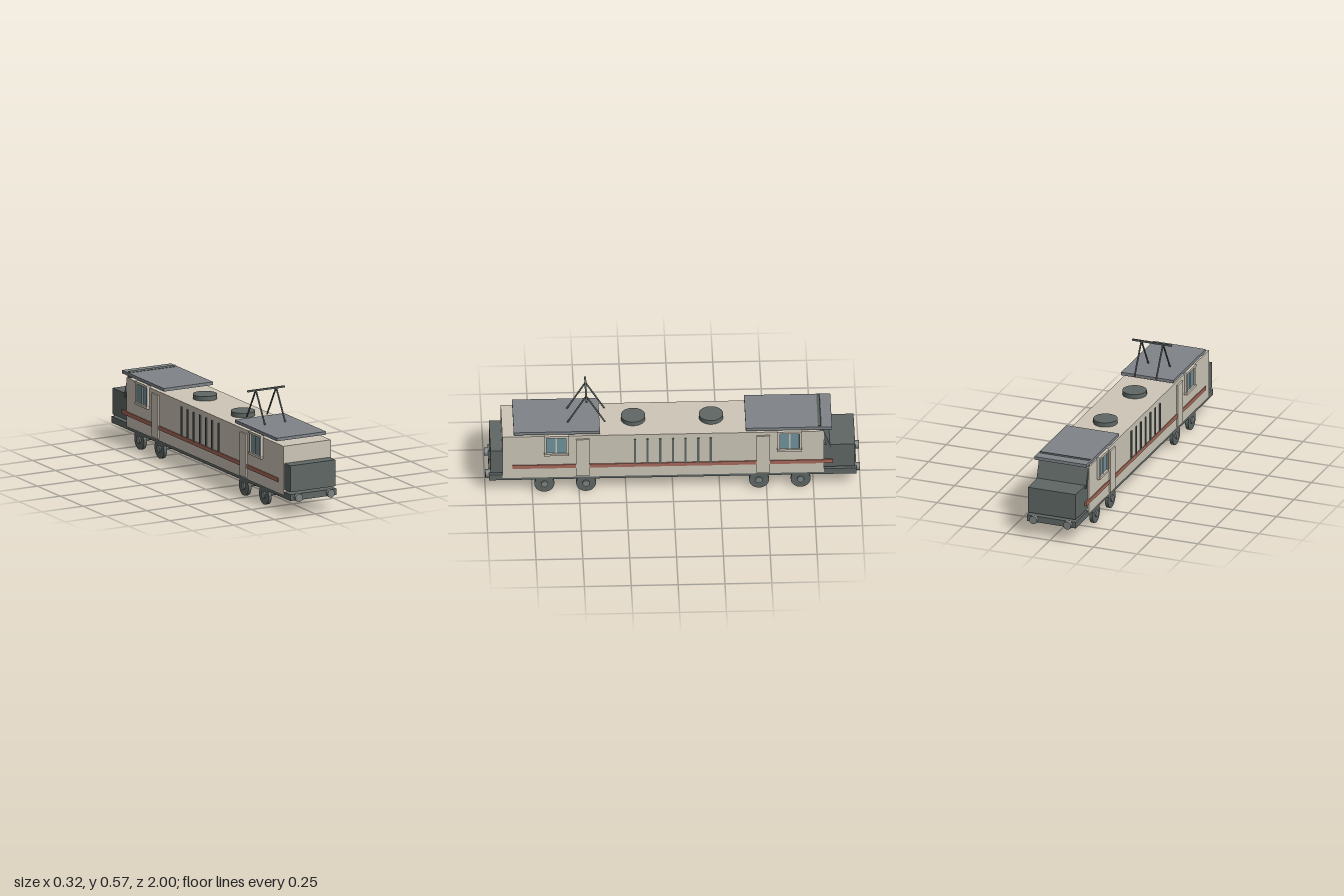
import * as THREE from 'three';

export function createModel() {
  const root = new THREE.Group();
  root.name = 'locomotive';
  const mat = (color) => new THREE.MeshStandardMaterial({ color });
  const cream = mat(0xcdc6b8), dark = mat(0x5f6764), roofGrey = mat(0x808489);
  const steel = mat(0x7d8481), red = mat(0xa8695a), blue = mat(0x6f929c);

  const add = (name, geo, material, x, y, z, parent = root) => {
    const m = new THREE.Mesh(geo, material);
    m.name = name;
    m.position.set(x, y, z);
    parent.add(m);
    return m;
  };
  // Box given by its limits on each axis
  const box = (name, material, [x0, x1], [y0, y1], [z0, z1], parent = root) =>
    add(name, new THREE.BoxGeometry(x1 - x0, y1 - y0, z1 - z0), material,
      (x0 + x1) / 2, (y0 + y1) / 2, (z0 + z1) / 2, parent);
  // Round bar between two points
  const rod = (name, material, a, b, r, parent = root, sides = 24) => {
    const p = new THREE.Vector3(...a), q = new THREE.Vector3(...b);
    const d = q.clone().sub(p), c = p.clone().add(q).multiplyScalar(0.5);
    const m = add(name, new THREE.CylinderGeometry(r, r, d.length(), sides), material, c.x, c.y, c.z, parent);
    m.quaternion.setFromUnitVectors(new THREE.Vector3(0, 1, 0), d.normalize());
    return m;
  };

  // Underframe, body and the nose at each end
  box('underframe', dark, [-0.14, 0.14], [0.083, 0.118], [-0.98, 0.98]);
  box('body', cream, [-0.145, 0.145], [0.1, 0.37], [-0.805, 0.91]);
  box('frontNose', dark, [-0.137, 0.137], [0.13, 0.275], [0.9, 0.973]);
  box('rearNose', dark, [-0.137, 0.137], [0.13, 0.275], [-0.973, -0.8]);

  // Sloping rear windscreen, its top edge passing through the roof
  const screen = add('rearWindscreen', new THREE.BoxGeometry(0.284, 0.16, 0.016), dark, 0, 0.331, -0.809);
  screen.rotation.x = 0.35;

  // Roof plates and round roof fans
  for (const s of [1, -1]) {
    const end = s > 0 ? 'front' : 'rear';
    add(end + 'RoofPlate', new THREE.BoxGeometry(0.3, 0.017, 0.46), roofGrey, 0, 0.393, s * 0.619);
    add(end + 'RoofFan', new THREE.CylinderGeometry(0.065, 0.065, 0.025, 32), dark, 0, 0.382, s * 0.208);
  }

  // Pantograph: two inverted V arms with a contact bar
  const pantograph = new THREE.Group();
  pantograph.name = 'pantograph';
  root.add(pantograph);
  for (const x of [-0.062, 0.062])
    for (const z of [0.56, 0.36])
      rod('pantographArm', dark, [x, 0.4, z], [x, 0.57, 0.46], 0.0045, pantograph, 12);
  box('contactBar', dark, [-0.113, 0.113], [0.564, 0.573], [0.455, 0.465], pantograph);

  // Buffers: short shaft and round head
  for (const s of [1, -1])
    for (const x of [-0.098, 0.098]) {
      rod('bufferShaft', steel, [x, 0.1, s * 0.96], [x, 0.1, s * 0.985], 0.016);
      rod('bufferHead', steel, [x, 0.1, s * 0.975], [x, 0.1, s], 0.022);
    }

  // Wheelsets: axle, wheels and hub caps
  for (const z of [0.685, 0.463, -0.46, -0.682]) {
    const set = new THREE.Group();
    set.name = 'wheelset';
    set.position.set(0, 0.053, z);
    root.add(set);
    rod('axle', dark, [-0.125, 0, 0], [0.125, 0, 0], 0.009, set);
    for (const s of [1, -1]) {
      rod('wheel', dark, [s * 0.12, 0, 0], [s * 0.138, 0, 0], 0.053, set, 32);
      rod('hub', steel, [s * 0.13, 0, 0], [s * 0.145, 0, 0], 0.019, set);
    }
  }

  // Side details, the same on both sides
  for (const s of [1, -1]) {
    const side = new THREE.Group();
    side.name = s > 0 ? 'leftSide' : 'rightSide';
    root.add(side);
    const out = (a, b) => (s > 0 ? [a, b] : [-b, -a]);
    box('stripe', red, out(0.14, 0.15), [0.162, 0.184], [-0.853, 0.857], side);

    // Ventilation slats
    for (let i = -3; i <= 3; i++)
      box('ventSlat', dark, out(0.14, 0.1505), [0.178, 0.342], [i * 0.0675 - 0.006, i * 0.0675 + 0.006], side);

    for (const e of [1, -1]) {
      box('door', cream, out(0.14, 0.154), [0.11, 0.35], [e * 0.482 - 0.036, e * 0.482 + 0.036], side);

      // Cab window: glass, mullion and projecting frame
      const z = e * 0.622;
      box('windowGlass', blue, out(0.143, 0.151), [0.26, 0.375], [z - 0.058, z + 0.058], side);
      box('windowMullion', cream, out(0.143, 0.155), [0.26, 0.375], [z - 0.004, z + 0.004], side);
      box('windowSill', cream, out(0.14, 0.162), [0.251, 0.264], [z - 0.066, z + 0.066], side);
      box('windowHead', cream, out(0.14, 0.162), [0.368, 0.38], [z - 0.066, z + 0.066], side);
      for (const k of [1, -1])
        box('windowJamb', cream, out(0.14, 0.159), [0.258, 0.372], [z + k * 0.058 - 0.006, z + k * 0.058 + 0.006], side);
    }
  }
  return root;
}
